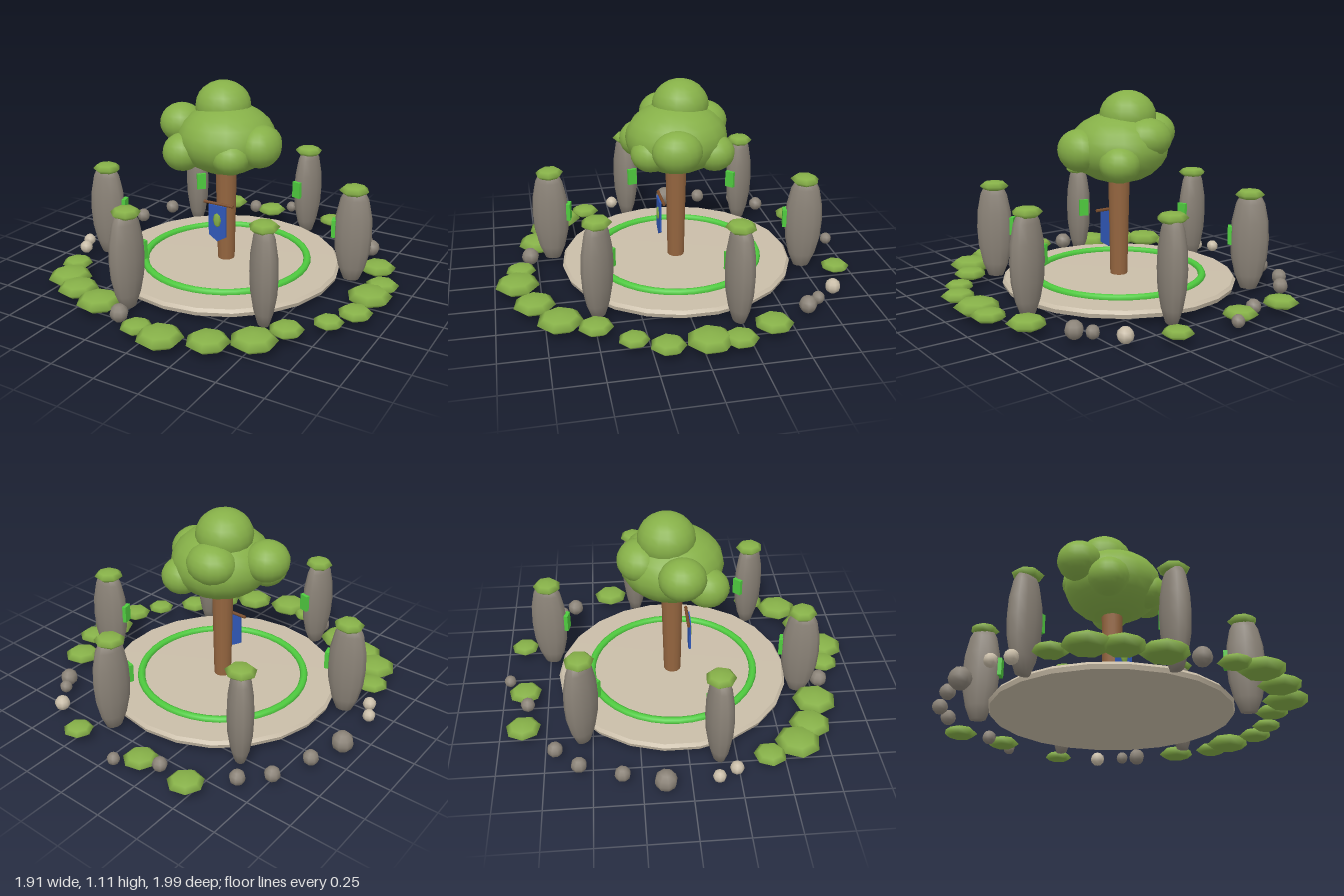
import * as THREE from 'three';
import { toCreasedNormals } from 'three/addons/utils/BufferGeometryUtils.js';

const mat = (name, color) => {
  const m = new THREE.MeshStandardMaterial({ color });
  m.name = name;
  return m;
};

export function createModel() {
  const leaf = mat('leaf green', 0x86b048);
  const stone = mat('grey stone', 0x8a8277);
  const sand = mat('pale stone', 0xc9bda8);
  const glow = mat('bright green', 0x4fcb3f);
  const bark = mat('bark brown', 0x94653f);
  const wood = mat('dark wood', 0x7a4d2c);
  const cloth = mat('blue cloth', 0x3058b8);

  const root = new THREE.Group();
  const add = (parent, name, geometry, material, x = 0, y = 0, z = 0) => {
    const m = new THREE.Mesh(geometry, material);
    m.name = name;
    m.position.set(x, y, z);
    parent.add(m);
    return m;
  };
  const lathe = (points, sides) =>
    new THREE.LatheGeometry(points.map(([r, y]) => new THREE.Vector2(r, y)), sides);

  // Everything inside the ring of shrubs shares this off-centre middle
  const grove = new THREE.Group();
  grove.name = 'grove';
  grove.position.set(-0.045, 0, -0.037);
  root.add(grove);

  // Round platform with a bevelled rim, and the bright ring on it
  const disc = lathe([[0, 0.042], [0.645, 0.042], [0.652, 0.065], [0.638, 0.082], [0, 0.084]], 22);
  add(grove, 'platform', toCreasedNormals(disc, 0.6), sand);
  const ring = add(grove, 'ring', new THREE.TorusGeometry(0.465, 0.021, 8, 40), glow, 0, 0.088, 0);
  ring.rotation.x = Math.PI / 2;

  // Trunk, slightly wider at the top
  add(grove, 'trunk', new THREE.CylinderGeometry(0.06, 0.048, 0.58, 12), bark, 0, 0.37, 0);

  // Crown: x, y, z, then the three radii
  const ball = new THREE.SphereGeometry(1, 18, 12);
  const crown = [
    [0.005, 0.8, 0, 0.27, 0.195, 0.28],
    [-0.035, 0.97, -0.03, 0.155, 0.14, 0.155],
    [-0.265, 0.86, 0.035, 0.12, 0.11, 0.125],
    [0.235, 0.795, 0.04, 0.11, 0.115, 0.135],
    [-0.17, 0.74, 0.175, 0.11, 0.105, 0.115],
    [0.12, 0.75, 0.16, 0.105, 0.095, 0.11],
    [0.13, 0.74, -0.185, 0.11, 0.1, 0.11],
    [-0.06, 0.86, -0.17, 0.14, 0.11, 0.125],
  ];
  for (const [x, y, z, a, b, c] of crown) {
    add(grove, 'crown', ball, leaf, x, y, z).scale.set(a, b, c);
  }

  // Banner hanging from a rod on the front of the trunk
  const banner = new THREE.Group();
  banner.name = 'banner';
  banner.position.set(0, 0, 0.085);
  grove.add(banner);
  const rod = add(banner, 'bannerRod', new THREE.CylinderGeometry(0.009, 0.009, 0.185, 8), wood, 0, 0.436, 0);
  rod.rotation.z = Math.PI / 2;
  const flag = new THREE.Shape([
    new THREE.Vector2(-0.055, 0.43), new THREE.Vector2(-0.055, 0.25), new THREE.Vector2(0, 0.216),
    new THREE.Vector2(0.055, 0.25), new THREE.Vector2(0.055, 0.43),
  ]);
  add(banner, 'bannerCloth', new THREE.ExtrudeGeometry(flag, { depth: 0.01, bevelEnabled: false }),
    cloth, 0, 0, 0.007);
  add(banner, 'bannerLeaf', new THREE.SphereGeometry(1, 6, 4), leaf, 0, 0.345, 0.018)
    .scale.set(0.026, 0.042, 0.008);

  // Shrubs and caps are flattened seven-sided pads
  const pad = new THREE.SphereGeometry(1, 7, 4);

  // Six standing stones, each with a leafy cap and a bright plate facing inwards
  const body = lathe([[0, 0.03], [0.42, 0.035], [0.72, 0.11], [0.94, 0.21], [1, 0.31],
    [0.95, 0.41], [0.75, 0.51], [0.5, 0.56], [0, 0.57]], 12);
  for (let i = 0; i < 6; i++) {
    const pillar = new THREE.Group();
    pillar.name = 'standingStone';
    pillar.rotation.y = -Math.PI / 4 - i * Math.PI / 3;
    grove.add(pillar);
    add(pillar, 'stoneBody', body, stone, 0.72, 0, 0).scale.set(0.104, 1, 0.069);
    const cap = add(pillar, 'stoneCap', pad, leaf, 0.715, 0.56, 0);
    cap.scale.set(0.083, 0.03, 0.078);
    cap.rotation.y = i * 1.3;
    add(pillar, 'stonePlate', new THREE.BoxGeometry(0.022, 0.1, 0.055), glow, 0.613, 0.33, 0);
  }

  // Ring of shrubs: x, z, radius
  const shrubs = [
    [-0.47, -0.87, 0.095], [-0.18, -0.875, 0.092], [0.24, -0.9, 0.08], [0.75, -0.38, 0.102],
    [0.85, -0.18, 0.092], [0.835, -0.03, 0.122], [0.84, 0.18, 0.092], [0.76, 0.335, 0.08],
    [0.61, 0.505, 0.092], [0.52, 0.675, 0.122], [0.335, 0.795, 0.113], [0.11, 0.875, 0.122],
    [-0.045, 0.85, 0.085], [-0.37, 0.73, 0.122], [-0.56, 0.665, 0.113], [-0.69, 0.575, 0.122],
    [-0.77, 0.415, 0.087],
  ];
  shrubs.forEach(([x, z, r], i) => {
    const s = add(root, 'shrub', pad, leaf, x, 0.06, z);
    s.scale.set(r, r * 0.34, r);
    s.rotation.y = i * 0.9;
  });

  // Pebbles: x, z, radius
  const pebble = new THREE.SphereGeometry(1, 8, 6);
  const scatter = (list, material) => list.forEach(([x, z, r], i) => {
    const p = add(root, 'pebble', pebble, material, x, r > 0.055 ? r : 0.066, z);
    p.scale.setScalar(r);
    p.rotation.y = i * 0.7;
  });
  scatter([
    [-0.29, -0.855, 0.04], [-0.08, -0.966, 0.034], [0.57, -0.68, 0.035], [0.625, -0.605, 0.048],
    [-0.65, -0.695, 0.042], [-0.77, -0.57, 0.042], [-0.85, -0.35, 0.042], [-0.905, -0.135, 0.059],
    [-0.195, 0.79, 0.049],
  ], stone);
  scatter([[0.47, -0.8, 0.042], [-0.905, 0.135, 0.035], [-0.855, 0.23, 0.037]], sand);

  return root;
}
